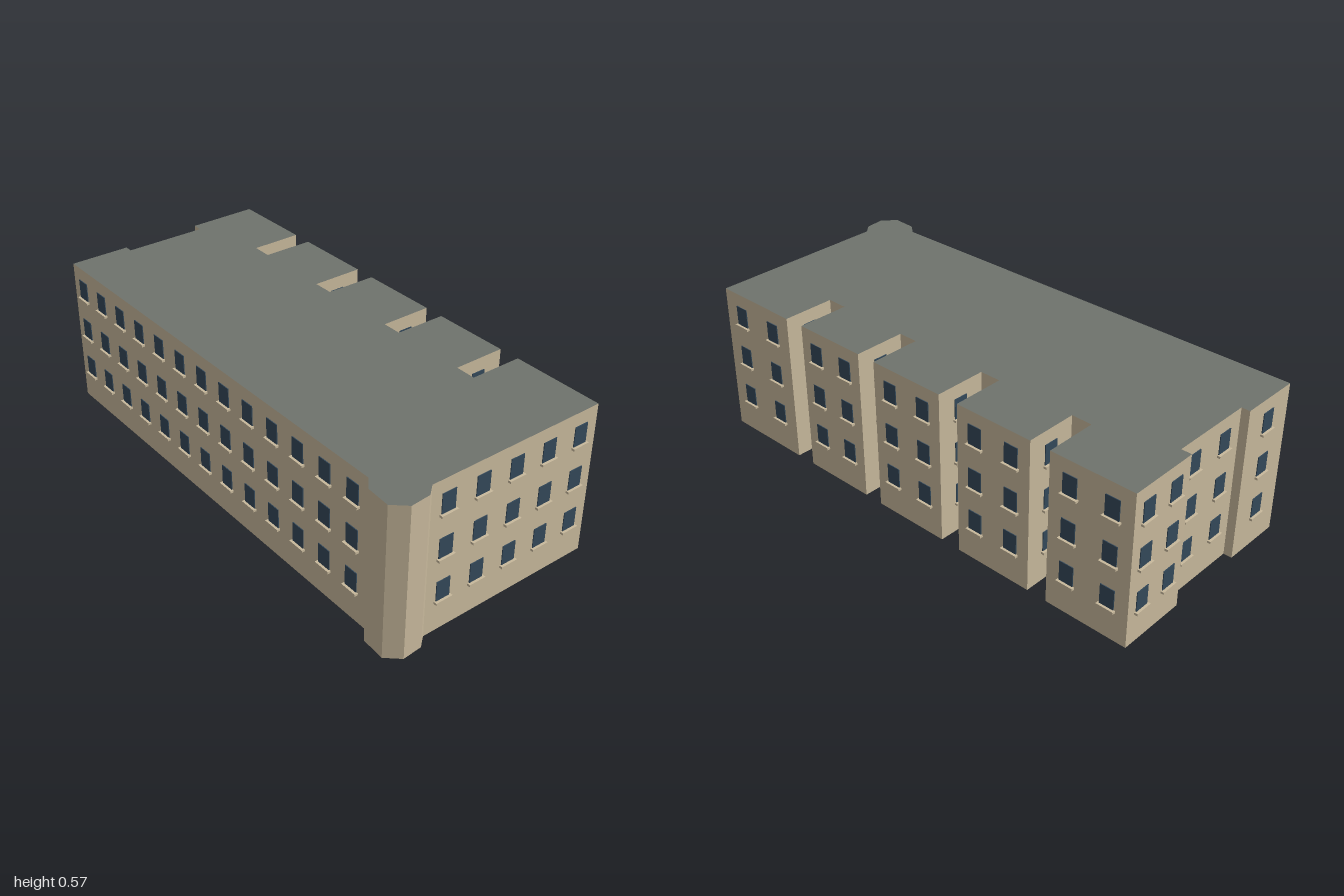
import * as THREE from 'three';

const HEIGHT = 0.567;
const WINDOW_W = 0.054, WINDOW_H = 0.073;
const FLOORS = [0.154, 0.317, 0.481]; // window centre heights
const MIN_SPACING = 0.13; // wall length needed per window

// Plan outline as [x, z], running clockwise seen from above
const footprint = [
  // back wall with its recessed middle
  [-0.55, -0.86], [-0.325, -0.897], [-0.32, -0.866], [-0.01, -0.917], [-0.015, -0.955], [0.245, -1],
  // side wall with four notches between the wings
  [0.297, -0.69], [0.108, -0.658], [0.12, -0.583], [0.309, -0.614],
  [0.358, -0.317], [0.167, -0.285], [0.18, -0.208], [0.37, -0.238],
  [0.419, 0.057], [0.229, 0.089], [0.241, 0.162], [0.431, 0.131],
  [0.478, 0.415], [0.285, 0.447], [0.297, 0.523], [0.492, 0.491],
  // front wall
  [0.547, 0.832], [-0.132, 0.945],
  // corner bay
  [-0.163, 0.982], [-0.235, 1], [-0.29, 0.965], [-0.299, 0.876], [-0.272, 0.83],
];

export function createModel() {
  const model = new THREE.Group();
  const wallMat = new THREE.MeshStandardMaterial({ color: 0xc8b99c });
  const roofMat = new THREE.MeshStandardMaterial({ color: 0x6f736d });
  const glassMat = new THREE.MeshStandardMaterial({ color: 0x34495a });

  // Building block: flat roof and base, upright walls
  const shape = new THREE.Shape(footprint.map(([x, z]) => new THREE.Vector2(x, -z)));
  const blockGeo = new THREE.ExtrudeGeometry(shape, { depth: HEIGHT, bevelEnabled: false });
  blockGeo.rotateX(-Math.PI / 2);
  const block = new THREE.Mesh(blockGeo, [roofMat, wallMat]);
  block.name = 'buildingBlock';
  model.add(block);

  // Windows with sills, evenly spread along every wall that is long enough
  const paneGeo = new THREE.BoxGeometry(WINDOW_W, WINDOW_H, 0.006);
  const sillGeo = new THREE.BoxGeometry(0.066, 0.008, 0.024);
  footprint.forEach(([x0, z0], i) => {
    const [x1, z1] = footprint[(i + 1) % footprint.length];
    const length = Math.hypot(x1 - x0, z1 - z0);
    const count = Math.floor(length / MIN_SPACING);
    if (count === 0) return;

    const wall = new THREE.Group();
    wall.name = 'wallWindows';
    wall.position.set((x0 + x1) / 2, 0, (z0 + z1) / 2);
    wall.rotation.y = Math.atan2(z1 - z0, x0 - x1); // local +z points outwards
    for (const y of FLOORS) {
      for (let k = 0; k < count; k++) {
        const x = ((k + 0.5) / count - 0.5) * length;
        const pane = new THREE.Mesh(paneGeo, glassMat);
        pane.name = 'windowPane';
        pane.position.set(x, y, 0);
        const sill = new THREE.Mesh(sillGeo, wallMat);
        sill.name = 'windowSill';
        sill.position.set(x, y - WINDOW_H / 2 - 0.004, 0);
        wall.add(pane, sill);
      }
    }
    model.add(wall);
  });

  return model;
}
